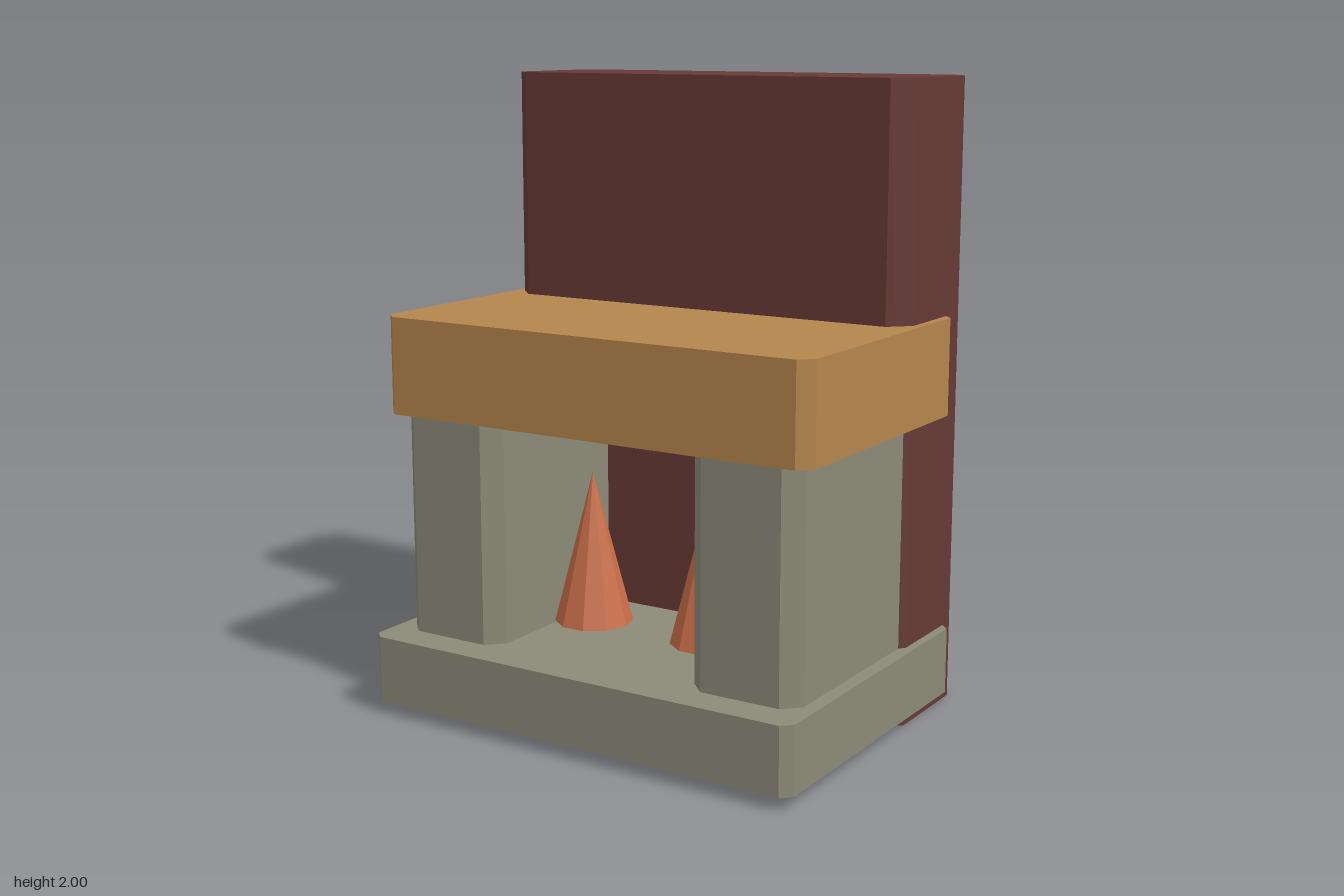
import * as THREE from 'three';

const material = (name, color) => {
  const m = new THREE.MeshStandardMaterial({ color });
  m.name = name;
  return m;
};

// Upright block with chamfered vertical corners
function chamferedBlock(name, mat, [x0, x1], [y0, y1], [z0, z1], c) {
  const outline = [
    [x0 + c, z0], [x1 - c, z0], [x1, z0 + c], [x1, z1 - c],
    [x1 - c, z1], [x0 + c, z1], [x0, z1 - c], [x0, z0 + c],
  ].map(([x, z]) => new THREE.Vector2(x, -z));
  const geo = new THREE.ExtrudeGeometry(new THREE.Shape(outline), {
    depth: y1 - y0, bevelEnabled: false,
  });
  geo.rotateX(-Math.PI / 2).translate(0, y0, 0);
  const mesh = new THREE.Mesh(geo, mat);
  mesh.name = name;
  return mesh;
}

export function createModel() {
  const brick = material('darkBrick', 0x663a35);
  const wood = material('mantelWood', 0xb5864d);
  const stone = material('greyStone', 0x8c8a78);
  const fire = material('flameOrange', 0xc96f49);
  fire.flatShading = true;

  const group = new THREE.Group();
  group.name = 'fireplace';

  // Chimney, hearth and mantel
  group.add(
    chamferedBlock('chimney', brick, [-0.727, 0.727], [0, 2], [-0.59, -0.14], 0.063),
    chamferedBlock('hearth', stone, [-0.755, 0.755], [0.04, 0.253], [-0.48, 0.59], 0.032),
    chamferedBlock('mantel', wood, [-0.755, 0.755], [0.957, 1.265], [-0.45, 0.5], 0.042),
  );

  // Pillars and flames, mirrored left and right
  const flameGeo = new THREE.ConeGeometry(0.125, 0.49, 10);
  flameGeo.rotateY(Math.PI / 10);
  for (const [side, s] of [['left', 1], ['right', -1]]) {
    const xs = [0.345 * s, 0.71 * s].sort((a, b) => a - b);
    group.add(chamferedBlock(side + 'Pillar', stone, xs, [0.03, 1.0], [-0.35, 0.477], 0.052));

    const flame = new THREE.Mesh(flameGeo, fire);
    flame.name = side + 'Flame';
    flame.position.set(0.218 * s, 0.518, 0.13);
    group.add(flame);
  }
  return group;
}
